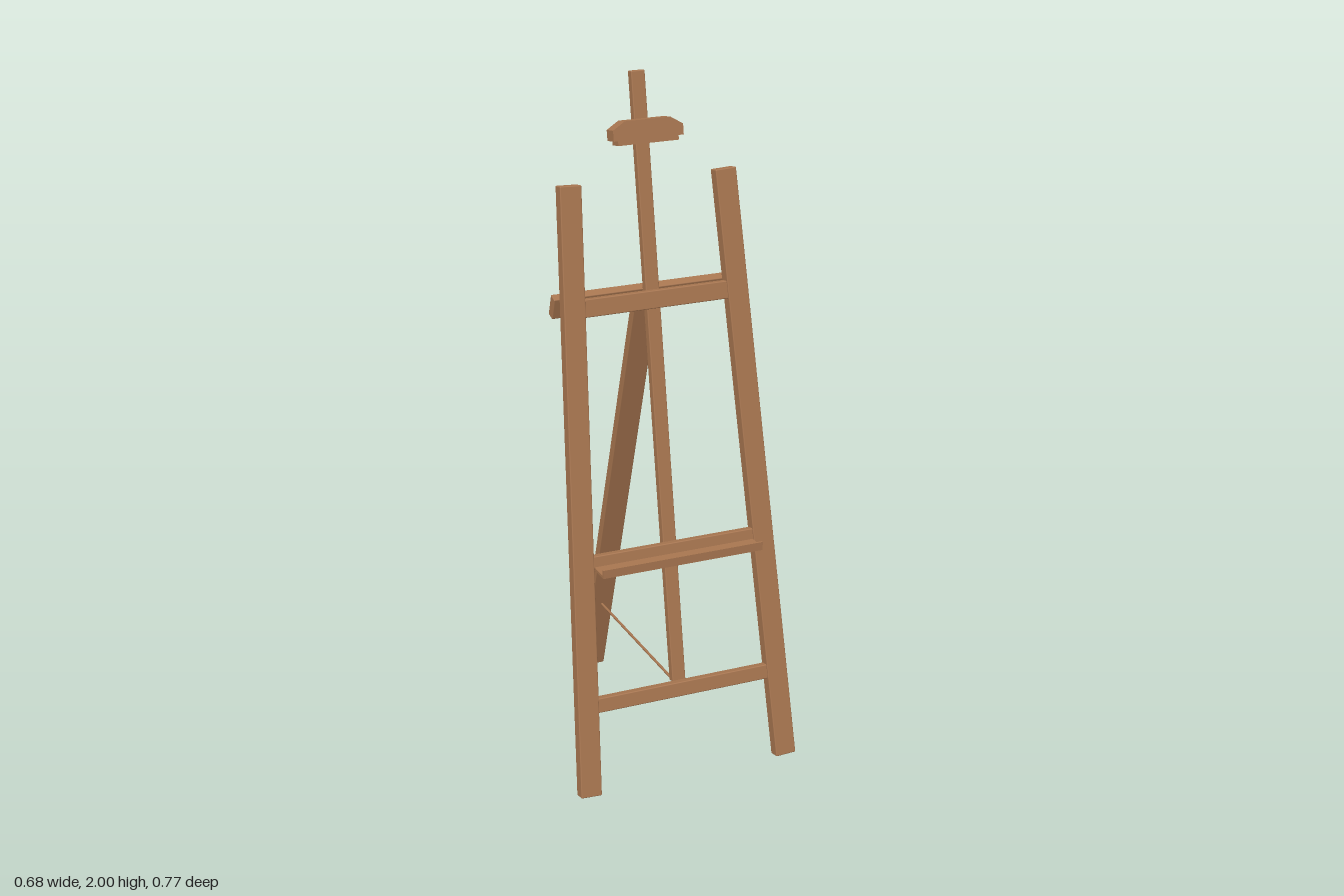
import * as THREE from 'three';
import { RoundedBoxGeometry } from 'three/addons/geometries/RoundedBoxGeometry.js';

const wood = new THREE.MeshStandardMaterial({ color: 0xa87650 });
wood.name = 'wood';

const LEAN = 0.18;       // backward lean of the front frame (dz/dy)
const PROP = -0.313;     // forward lean of the rear prop
const facing = slope => new THREE.Vector3(0, slope, 1).normalize();
const frameNormal = facing(LEAN);
const propNormal = facing(PROP);
const frameZ = y => 0.372 - LEAN * y;   // middle of the frame at height y

export function createModel() {
  const easel = new THREE.Group();
  easel.name = 'easel';

  const add = (name, geometry) => {
    const mesh = new THREE.Mesh(geometry, wood);
    mesh.name = name;
    easel.add(mesh);
    return mesh;
  };

  // Softly rounded board running from a to b, its face turned towards normal
  const board = (name, a, b, width, thick, normal) => {
    const from = new THREE.Vector3(...a), to = new THREE.Vector3(...b);
    const y = to.clone().sub(from), length = y.length();
    y.normalize();
    const x = y.clone().cross(normal).normalize();
    const z = x.clone().cross(y);
    const mesh = add(name, new RoundedBoxGeometry(width, length, thick, 2, 0.003));
    mesh.quaternion.setFromRotationMatrix(new THREE.Matrix4().makeBasis(x, y, z));
    mesh.position.copy(from).add(to).multiplyScalar(0.5);
    return mesh;
  };

  // Splayed front legs
  for (const s of [-1, 1]) {
    board(s > 0 ? 'leftLeg' : 'rightLeg', [s * 0.309, 0.005, frameZ(0.005)],
      [s * 0.232, 1.717, frameZ(1.717)], 0.063, 0.036, frameNormal);
  }

  // Rails between the front legs: name, bottom, top, length
  for (const [name, y0, y1, length] of [
    ['lowerRail', 0.243, 0.285, 0.56],
    ['middleRail', 0.65, 0.693, 0.52],
    ['upperRail', 1.357, 1.407, 0.46],
  ]) board(name, [0, y0, frameZ(y0)], [0, y1, frameZ(y1)], length, 0.026, frameNormal);

  // Centre mast behind the rails
  board('mast', [0, 0.272, 0.291], [0, 1.998, -0.012], 0.041, 0.025, frameNormal);

  // Hinge bar and rear prop
  board('hingeBar', [0, 1.343, 0.046], [0, 1.405, 0.066], 0.568, 0.028, propNormal);
  board('rearProp', [0, 0.015, -0.373], [0, 1.35, 0.045], 0.071, 0.027, propNormal);

  // Canvas ledge with front lip
  add('ledge', new THREE.BoxGeometry(0.492, 0.008, 0.074)).position.set(0, 0.661, 0.293);
  add('ledgeLip', new THREE.BoxGeometry(0.492, 0.025, 0.006)).position.set(0, 0.67, 0.328);

  // Sliding top clamp: chamfered block over a narrower pad
  const profile = new THREE.Shape([
    [-0.104, -0.022], [0.104, -0.022], [0.104, 0.008],
    [0.068, 0.03], [-0.068, 0.03], [-0.104, 0.008],
  ].map(p => new THREE.Vector2(...p)));
  const block = add('clampBlock',
    new THREE.ExtrudeGeometry(profile, { depth: 0.046, bevelEnabled: false }));
  block.position.set(0, 1.842, 0.028);
  block.rotation.x = -Math.atan(LEAN);
  const pad = add('clampPad', new THREE.BoxGeometry(0.18, 0.014, 0.042));
  pad.position.set(0, 1.818, 0.054);
  pad.rotation.x = -Math.atan(LEAN);

  // Stay cord from the lower rail to the prop
  const cord = add('stayCord', new THREE.CylinderGeometry(0.004, 0.004, 0.61, 8));
  cord.rotation.x = Math.PI / 2;
  cord.position.set(0, 0.257, 0.012);

  return easel;
}
